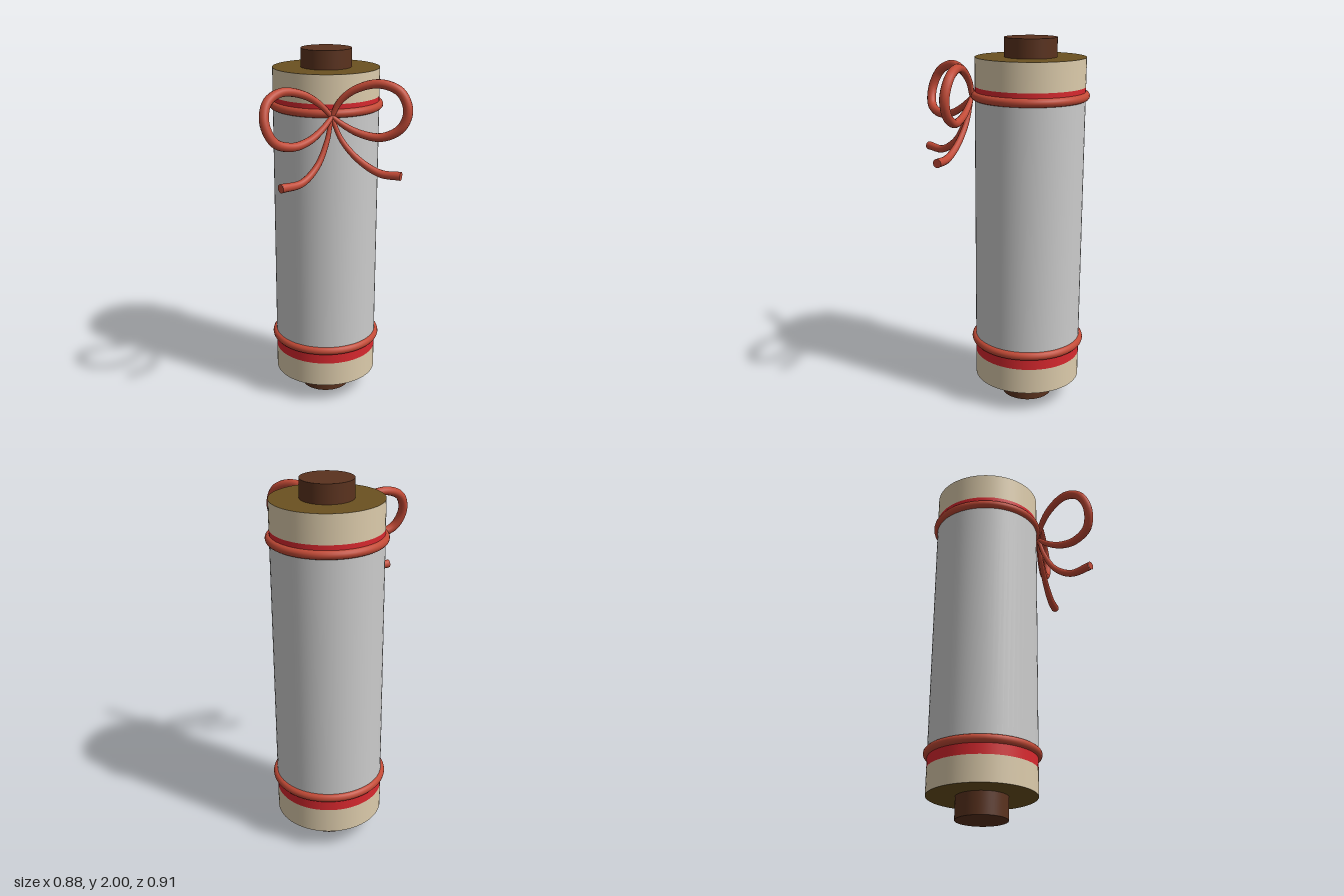
import * as THREE from 'three';

const paint = (color) => new THREE.MeshStandardMaterial({ color });
const PAPER = paint(0xcccccc);
const CREAM = paint(0xdccbab);
const RED = paint(0xd8282e);
const OLIVE = paint(0x6b5120);
const WOOD = paint(0x5a321e);
const CORD = paint(0xc24a36);

function addMesh(parent, name, geometry, material, y = 0) {
  const mesh = new THREE.Mesh(geometry, material);
  mesh.name = name;
  mesh.position.y = y;
  parent.add(mesh);
}

// Upright cylinder between two heights
function addBand(parent, name, radius, y0, y1, material, open = true) {
  const geometry = new THREE.CylinderGeometry(radius, radius, y1 - y0, 64, 1, open);
  addMesh(parent, name, geometry, material, (y0 + y1) / 2);
}

// Cord along a smooth path, with its thickness varying as radiusAt(t); ends closed
function addCord(parent, name, points, radiusAt) {
  const curve = new THREE.CatmullRomCurve3(points.map((p) => new THREE.Vector3(...p)), false, 'centripetal');
  const rings = 64, sides = 12;
  const geometry = new THREE.TubeGeometry(curve, rings, 1, sides);
  const pos = geometry.attributes.position;
  const centre = new THREE.Vector3(), v = new THREE.Vector3();
  for (let i = 0; i <= rings; i++) {
    curve.getPointAt(i / rings, centre);
    for (let j = 0; j <= sides; j++) {
      const k = i * (sides + 1) + j;
      v.fromBufferAttribute(pos, k).sub(centre).multiplyScalar(radiusAt(i / rings)).add(centre);
      pos.setXYZ(k, v.x, v.y, v.z);
    }
  }
  addMesh(parent, name, geometry, CORD);
  // End discs
  for (const t of [0, 1]) {
    const disc = new THREE.CircleGeometry(radiusAt(t), sides);
    const out = curve.getTangentAt(t).multiplyScalar(t ? 1 : -1);
    disc.applyQuaternion(new THREE.Quaternion().setFromUnitVectors(new THREE.Vector3(0, 0, 1), out));
    const p = curve.getPointAt(t);
    disc.translate(p.x, p.y, p.z);
    addMesh(parent, name + 'End', disc, CORD);
  }
}

export function createModel() {
  const model = new THREE.Group();
  model.name = 'scroll';

  // Rolled scroll, set off to the back left of the bow
  const roll = new THREE.Group();
  roll.name = 'roll';
  roll.position.set(0.13, 0, -0.145);
  model.add(roll);
  const R = 0.29;
  addBand(roll, 'lowerBorder', R, 0.12, 0.26, CREAM);
  addBand(roll, 'lowerStripe', R, 0.26, 0.335, RED);
  addBand(roll, 'paper', R, 0.335, 1.69, PAPER);
  addBand(roll, 'upperStripe', R, 1.69, 1.75, RED);
  addBand(roll, 'upperBorder', R, 1.75, 1.9, CREAM);

  // Flat ends and the wooden rod ends
  const disc = new THREE.CircleGeometry(R, 64);
  addMesh(roll, 'topEnd', disc.clone().rotateX(-Math.PI / 2), OLIVE, 1.9);
  addMesh(roll, 'bottomEnd', disc.clone().rotateX(Math.PI / 2), OLIVE, 0.12);
  addBand(roll, 'upperRod', 0.138, 1.89, 2, WOOD, false);
  addBand(roll, 'lowerRod', 0.138, 0, 0.13, WOOD, false);

  // Cord rings
  for (const [name, y] of [['lowerCord', 0.34], ['upperCord', 1.702]]) {
    addMesh(roll, name, new THREE.TorusGeometry(0.288, 0.023, 14, 72).rotateX(Math.PI / 2), CORD, y);
  }

  // Bow: loops and tails are thin at the knot and thicker away from it
  const bow = new THREE.Group();
  bow.name = 'bow';
  model.add(bow);
  const loopRadius = (t) => 0.011 + 0.014 * Math.sin(Math.PI * t) ** 0.7;
  const tailRadius = (t) => 0.011 + 0.012 * t;
  addCord(bow, 'rightLoop', [
    [-0.01, 1.69, 0.125], [-0.07, 1.755, 0.105], [-0.16, 1.81, 0.094], [-0.29, 1.835, 0.096],
    [-0.385, 1.795, 0.12], [-0.418, 1.705, 0.152], [-0.38, 1.61, 0.178], [-0.28, 1.575, 0.178],
    [-0.17, 1.59, 0.163], [-0.08, 1.635, 0.145], [-0.01, 1.69, 0.128],
  ], loopRadius);
  addCord(bow, 'leftLoop', [
    [-0.01, 1.69, 0.125], [0.02, 1.77, 0.155], [0.075, 1.835, 0.215], [0.16, 1.866, 0.3],
    [0.23, 1.83, 0.38], [0.252, 1.74, 0.418], [0.23, 1.65, 0.395], [0.165, 1.597, 0.32],
    [0.09, 1.61, 0.235], [0.03, 1.65, 0.17], [-0.01, 1.69, 0.128],
  ], loopRadius);
  addCord(bow, 'rightTail', [
    [-0.015, 1.685, 0.128], [-0.05, 1.57, 0.142], [-0.12, 1.455, 0.162],
    [-0.23, 1.385, 0.188], [-0.365, 1.382, 0.208],
  ], tailRadius);
  addCord(bow, 'leftTail', [
    [-0.012, 1.685, 0.128], [0.02, 1.57, 0.175], [0.075, 1.475, 0.255],
    [0.14, 1.418, 0.35], [0.203, 1.415, 0.44],
  ], tailRadius);

  return model;
}
